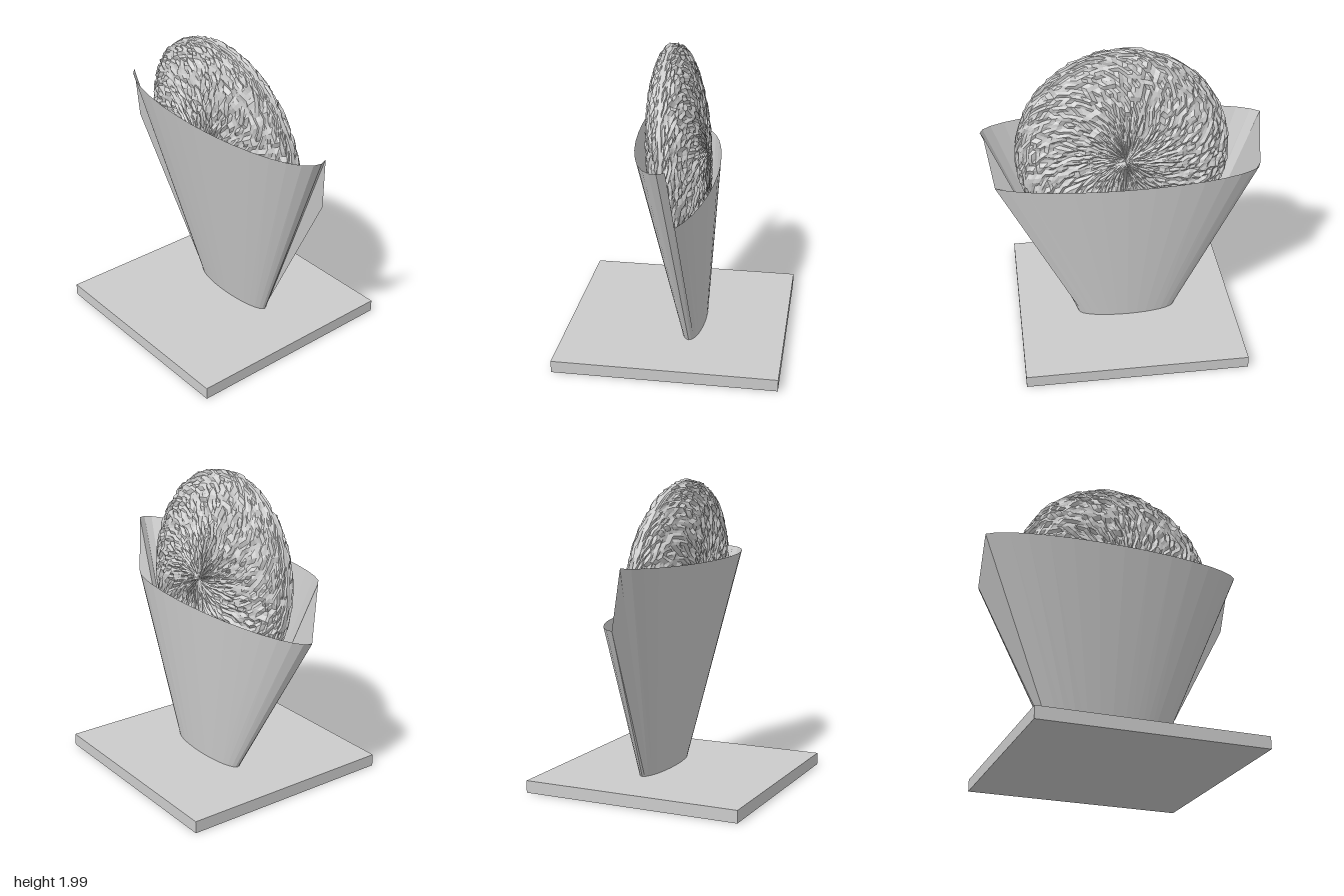
import * as THREE from 'three';

const grey = (extra = {}) => new THREE.MeshStandardMaterial({ color: 0xcccccc, ...extra });

function seeded(seed) {
  return () => {
    seed = (seed * 1664525 + 1013904223) % 4294967296;
    return seed / 4294967296;
  };
}

// Flaring oval wrapper: tall back panel, low front panel, one-segment steps between
function createWrapper() {
  const n = 32, pos = [], idx = [];
  for (let i = 0; i < n; i++) {
    const a = (i / n) * Math.PI * 2;
    const s = Math.sin(a), c = Math.cos(a);
    const isFront = i >= 2 && i <= 16;
    const x = 0.246 * s;
    pos.push(0.105 + 0.077 * s, 0.075, 0.325 * c);
    pos.push(x, (isFront ? 1.12 : 1.493) + 0.095 * x, 0.91 * c);
    const b = i * 2, d = ((i + 1) % n) * 2;
    idx.push(b, d, b + 1, d, d + 1, b + 1);
  }
  const g = new THREE.BufferGeometry();
  g.setAttribute('position', new THREE.Float32BufferAttribute(pos, 3));
  g.setIndex(idx);
  g.computeVertexNormals();
  return new THREE.Mesh(g, grey({ side: THREE.DoubleSide, flatShading: true }));
}

// Lens-shaped disc with a rough, crumb-like crust and a smooth rim band
function createDisc() {
  const segs = 128, rings = 56, radius = 0.692, half = 0.172;
  const g = new THREE.SphereGeometry(1, segs, rings);
  const p = g.attributes.position, rand = seeded(7);
  const v = new THREE.Vector3(), nrm = new THREE.Vector3();
  for (let r = 0; r <= rings; r++) {
    const row = Array.from({ length: segs }, () => (rand() < 0.5 ? -0.008 : 0.007) + (rand() - 0.5) * 0.008);
    const smooth = r === 0 || r === rings || Math.abs(r - rings / 2) <= 1;
    for (let s = 0; s <= segs; s++) {
      const i = r * (segs + 1) + s;
      v.fromBufferAttribute(p, i);
      nrm.set(v.x / radius, v.y / half, v.z / radius).normalize();
      v.multiply(new THREE.Vector3(radius, half, radius));
      v.addScaledVector(nrm, smooth ? 0 : row[s % segs]);
      p.setXYZ(i, v.x, v.y, v.z);
    }
  }
  g.rotateZ(-Math.PI / 2);
  g.computeVertexNormals();
  const disc = new THREE.Mesh(g, grey({ flatShading: true }));
  disc.position.set(0, 1.295, 0.01);
  disc.rotation.z = 0.095;
  return disc;
}

export function createModel() {
  const model = new THREE.Group();
  model.name = 'wrappedDisc';

  // Square base plate
  const base = new THREE.Mesh(new THREE.BoxGeometry(1.46, 0.08, 1.46), grey());
  base.position.y = 0.04;
  base.name = 'basePlate';

  const wrapper = createWrapper();
  wrapper.name = 'paperWrapper';

  const disc = createDisc();
  disc.name = 'crustedDisc';

  model.add(base, wrapper, disc);
  return model;
}
